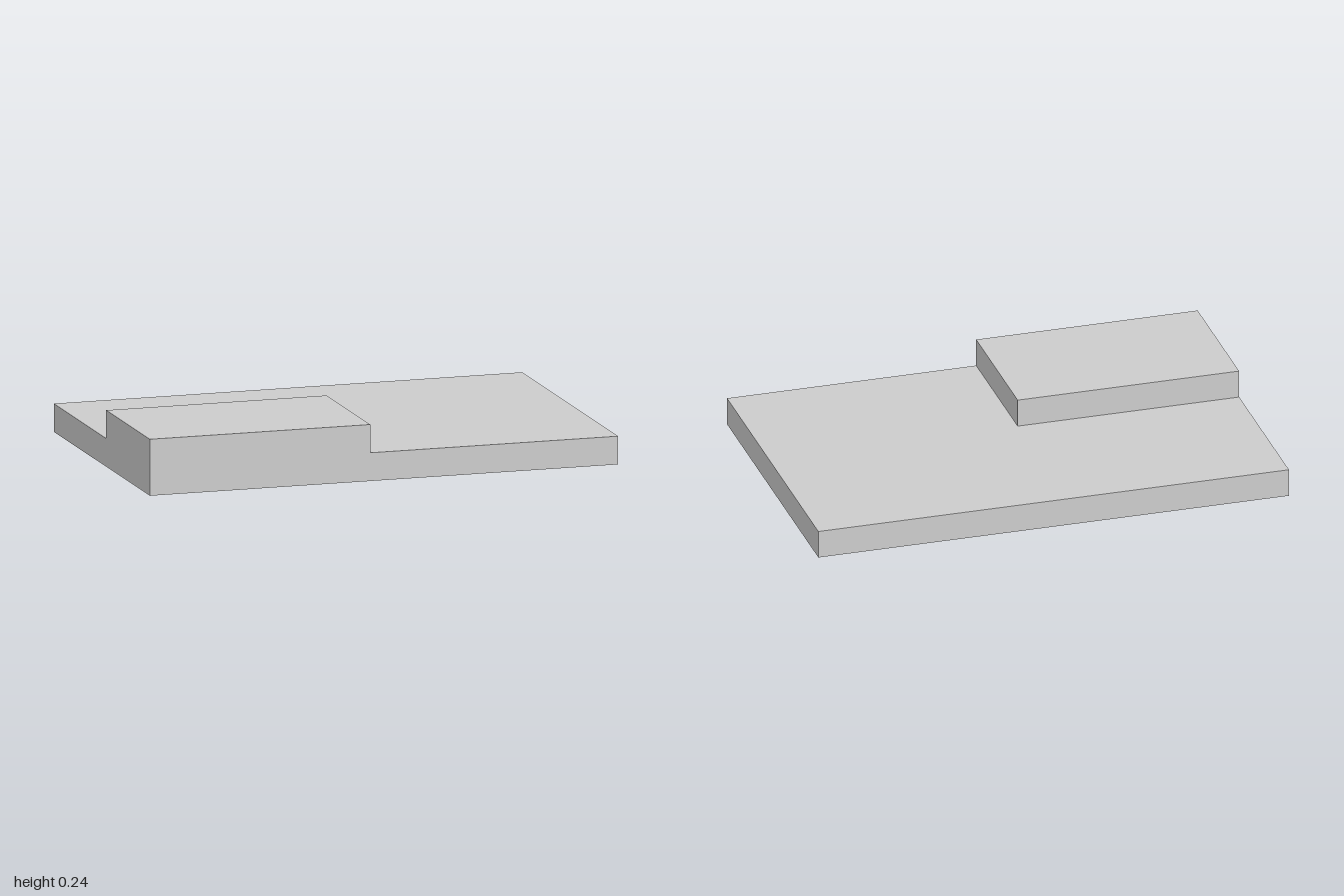
import * as THREE from 'three';

// One module of the layout: the slab is 34 x 2 x 22 modules
const U = 1 / 17;

export function createModel() {
  const group = new THREE.Group();
  const material = new THREE.MeshStandardMaterial({ color: 0xcccccc, flatShading: true });

  // Box spanning two opposite corners, given in modules
  const addBlock = (name, [x0, y0, z0], [x1, y1, z1]) => {
    const geometry = new THREE.BoxGeometry((x1 - x0) * U, (y1 - y0) * U, (z1 - z0) * U);
    const mesh = new THREE.Mesh(geometry, material);
    mesh.position.set(x0 + x1, y0 + y1, z0 + z1).multiplyScalar(U / 2);
    mesh.name = name;
    group.add(mesh);
  };

  // Wide flat slab
  addBlock('baseSlab', [-17, 0, -11], [17, 2, 11]);
  // Raised platform, flush with the front right corner
  addBlock('raisedPlatform', [-17, 2, 1], [-1, 4, 11]);

  group.name = 'steppedSlab';
  return group;
}
